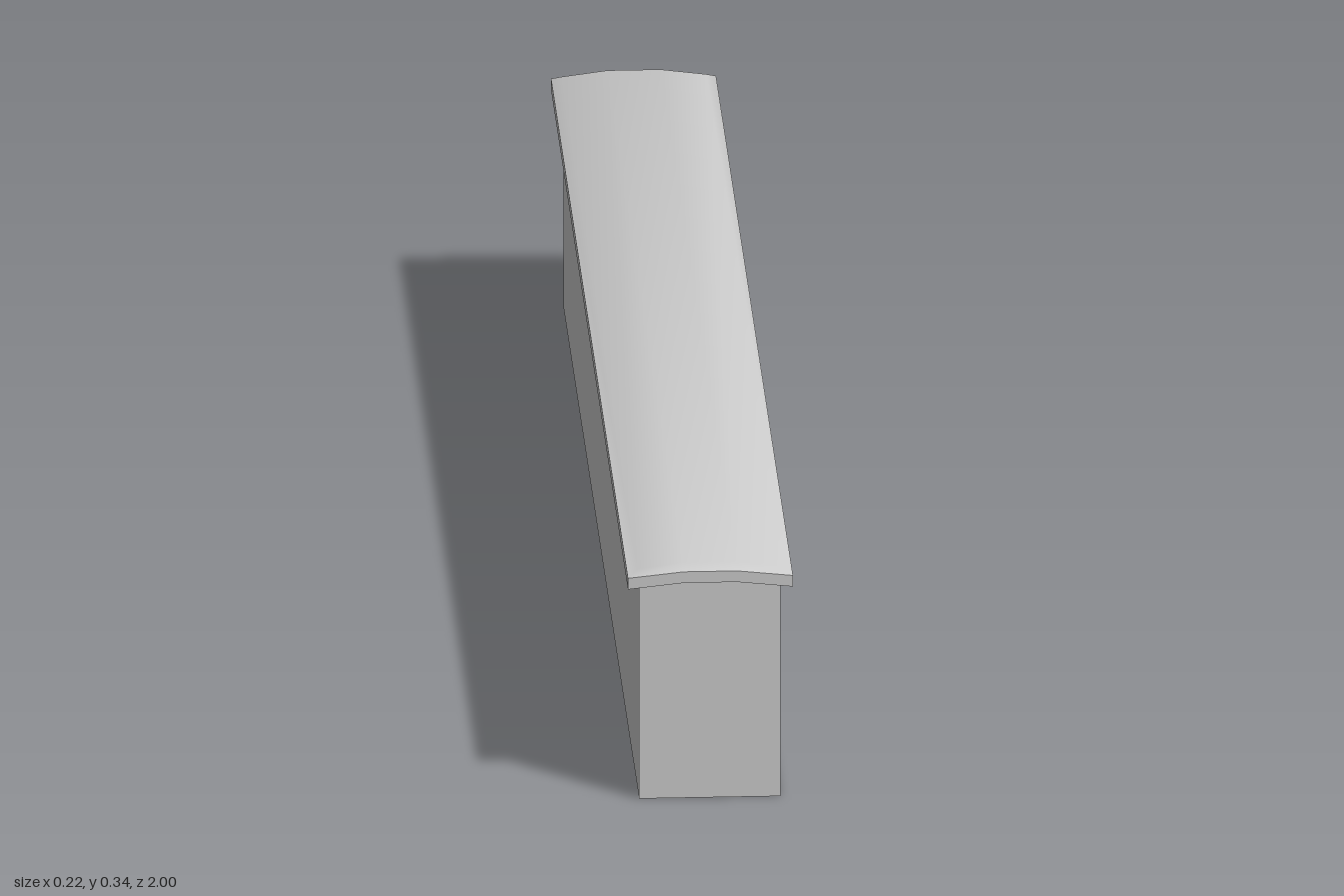
import * as THREE from 'three';
import { toCreasedNormals } from 'three/addons/utils/BufferGeometryUtils.js';

const material = new THREE.MeshStandardMaterial({ color: 0xcccccc });

// Straight wall whose top follows the underside of the cap
function createWall() {
  const shape = new THREE.Shape([
    [-0.096, 0], [0.096, 0], [0.096, 0.309], [0.036, 0.315], [-0.036, 0.315], [-0.096, 0.309],
  ].map(([x, y]) => new THREE.Vector2(x, y)));
  const geometry = new THREE.ExtrudeGeometry(shape, { depth: 1.97, bevelEnabled: false });
  geometry.translate(0, 0, -0.985);
  const mesh = new THREE.Mesh(geometry, material);
  mesh.name = 'wall';
  return mesh;
}

// Arched coping slab: three stacked rings of eight points, the top one inset as a bevel
function createCoping() {
  const layers = [
    { x: 0.112, z: 1, y: 0.307 },
    { x: 0.112, z: 1, y: 0.323 },
    { x: 0.098, z: 0.985, y: 0.331 },
  ];
  const positions = [];
  const index = [];
  const quad = (a, b, c, d) => index.push(a, b, c, a, c, d);

  for (const { x, z, y } of layers) {
    const row = [[-x, y], [-0.036, y + 0.008], [0.036, y + 0.008], [x, y]];
    for (const [px, py] of row) positions.push(px, py, z);
    for (const [px, py] of row.reverse()) positions.push(px, py, -z);
  }
  // Rim and bevel
  for (let k = 0; k < 2; k++) {
    for (let i = 0; i < 8; i++) {
      const a = k * 8 + i;
      const b = k * 8 + (i + 1) % 8;
      quad(a, b, b + 8, a + 8);
    }
  }
  // Arched top and underside
  for (let i = 0; i < 3; i++) {
    quad(16 + i, 17 + i, 22 - i, 23 - i);
    quad(7 - i, 6 - i, i + 1, i);
  }

  const geometry = new THREE.BufferGeometry();
  geometry.setAttribute('position', new THREE.Float32BufferAttribute(positions, 3));
  geometry.setIndex(index);
  const mesh = new THREE.Mesh(toCreasedNormals(geometry, 0.65), material);
  mesh.name = 'coping';
  return mesh;
}

export function createModel() {
  const group = new THREE.Group();
  group.name = 'copedWall';
  group.add(createWall(), createCoping());
  return group;
}
